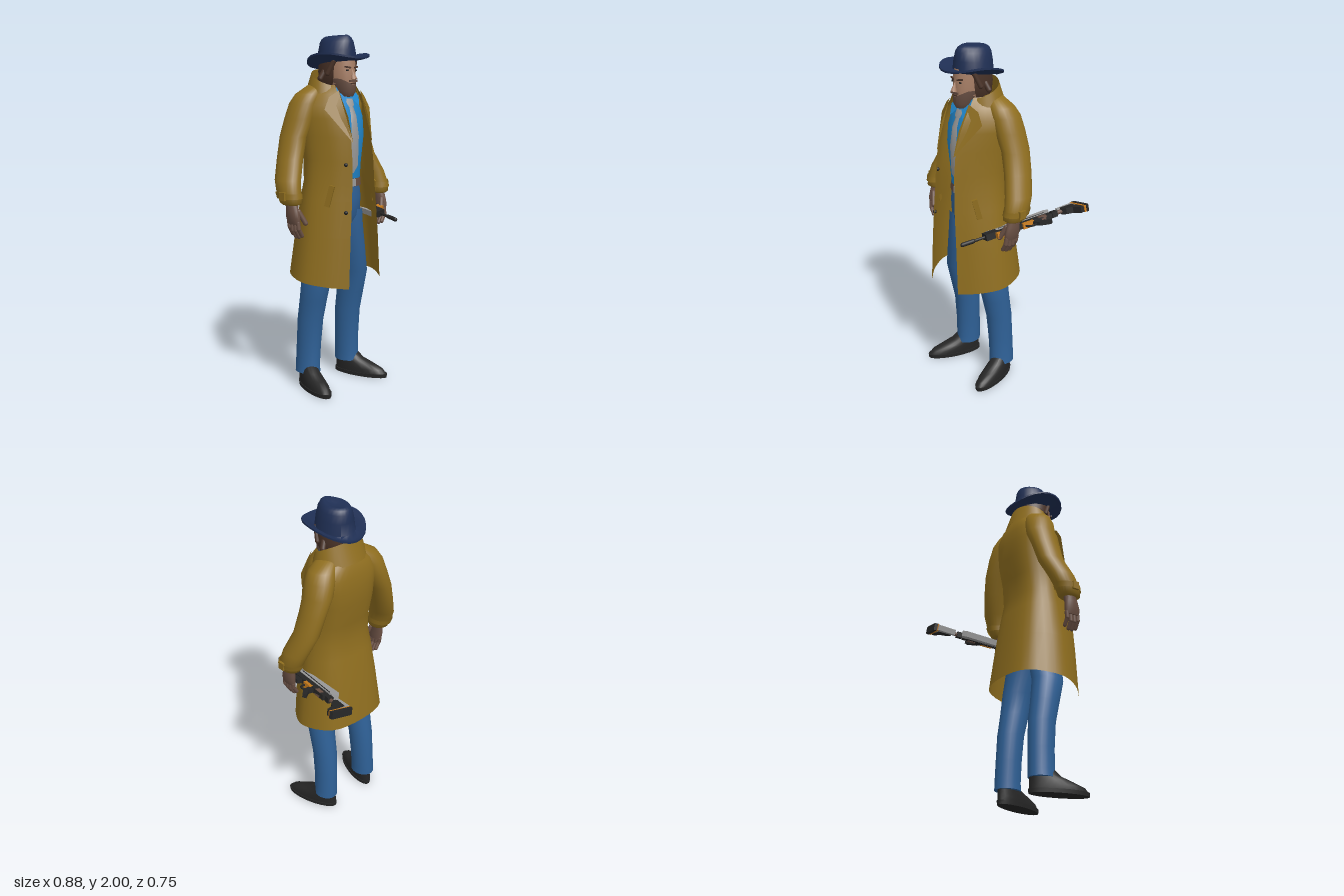
import * as THREE from 'three';
import { toCreasedNormals } from 'three/addons/utils/BufferGeometryUtils.js';

const TAU = Math.PI * 2;
const V = (x, y, z) => new THREE.Vector3(x, y, z);
const flat = (name, color, side = THREE.FrontSide) => {
  const m = new THREE.MeshStandardMaterial({ color, side });
  m.name = name;
  return m;
};

// Elliptical ring (or arc) starting at the front (+z) and turning toward +x
function ring(y, cx, cz, rx, rz, a0 = 0, a1 = TAU, lift = () => 0) {
  const n = 24, steps = a1 - a0 > 6.28 ? n : n - 1;
  return Array.from({ length: n }, (_, i) => {
    const a = a0 + (a1 - a0) * i / steps;
    return V(cx + rx * Math.sin(a), y + lift(a), cz + rz * Math.cos(a));
  });
}

// Skin stretched over cross-sections listed from bottom to top
function loft(rings, { closed = true, bottom = false, top = false, crease = 0.9 } = {}) {
  const n = rings[0].length, pts = rings.flat(), idx = [];
  for (let i = 0; i < rings.length - 1; i++)
    for (let j = 0; j < (closed ? n : n - 1); j++) {
      const k = (j + 1) % n, a = i * n + j, b = i * n + k;
      idx.push(a, b, b + n, a, b + n, a + n);
    }
  const cap = (start, up) => {
    const c = V(0, 0, 0);
    for (let j = 0; j < n; j++) c.addScaledVector(pts[start + j], 1 / n);
    const ci = pts.push(c) - 1;
    for (let j = 0; j < n; j++) {
      const a = start + j, b = start + (j + 1) % n;
      up ? idx.push(a, b, ci) : idx.push(b, a, ci);
    }
  };
  if (bottom) cap(0, false);
  if (top) cap((rings.length - 1) * n, true);
  const g = new THREE.BufferGeometry().setFromPoints(pts);
  g.setIndex(idx);
  return toCreasedNormals(g, crease);
}

// Flat fan of corners
function fan(points) {
  const g = new THREE.BufferGeometry().setFromPoints(points);
  g.setIndex(points.slice(2).flatMap((_, i) => [0, i + 1, i + 2]));
  return toCreasedNormals(g, 0.3);
}

export function createModel() {
  const coat = flat('mustard coat', 0x8f6e1f, THREE.DoubleSide);
  const denim = flat('blue denim', 0x2f6197);
  const shirt = flat('bright blue shirt', 0x2186cb, THREE.DoubleSide);
  const felt = flat('navy felt', 0x1f2f54);
  const black = flat('black', 0x262626);
  const skin = flat('skin', 0xa87f66);
  const hair = flat('dark hair', 0x4a3328, THREE.DoubleSide);
  const grey = flat('grey', 0x9b9b9b, THREE.DoubleSide);
  const orange = flat('orange', 0xc67a1c);
  const brown = flat('brown', 0x6a5044, THREE.DoubleSide);

  const model = new THREE.Group();
  const body = new THREE.Group();
  body.name = 'figure';
  body.position.x = -0.023;
  model.add(body);
  const add = (name, geo, mat, parent = body) => {
    const m = new THREE.Mesh(geo, mat);
    m.name = name;
    parent.add(m);
    return m;
  };
  const box = (name, mat, w, h, d, x, y, z, parent = body) => {
    const m = add(name, new THREE.BoxGeometry(w, h, d), mat, parent);
    m.position.set(x, y, z);
    return m;
  };
  const capsule = (name, mat, p, q, r, parent = body) => {
    const d = q.clone().sub(p);
    const m = add(name, new THREE.CapsuleGeometry(r, d.length(), 4, 10), mat, parent);
    m.position.copy(p).addScaledVector(d, 0.5);
    m.quaternion.setFromUnitVectors(V(0, 1, 0), d.normalize());
    return m;
  };
  // rows: [y, cx, cz, rx, rz]
  const rows = (list, s = 1) => list.map(([y, x, z, rx, rz]) => ring(y, s * x, z, rx, rz));

  // Trousers, belt, shirt, tie
  add('hips', loft(rows([[0.95, 0, 0.1, 0.125, 0.09], [1.0, 0, 0.1, 0.15, 0.115], [1.1, 0, 0.1, 0.155, 0.12],
    [1.2, 0, 0.1, 0.145, 0.11]]), { bottom: true }), denim);
  add('belt', loft(rows([[1.165, 0, 0.1, 0.156, 0.122], [1.21, 0, 0.1, 0.152, 0.119]])), brown);
  box('buckle', grey, 0.055, 0.04, 0.012, 0, 1.188, 0.222);
  add('shirt', loft(rows([[1.17, 0, 0.1, 0.148, 0.112], [1.3, 0, 0.1, 0.15, 0.125], [1.45, 0, 0.1, 0.17, 0.135],
    [1.55, 0, 0.1, 0.17, 0.122], [1.62, 0, 0.095, 0.15, 0.105], [1.67, 0, 0.09, 0.11, 0.09],
    [1.72, 0, 0.09, 0.075, 0.075]])), shirt);
  add('tie', loft([[1.245, 0.004, 0.232], [1.285, 0.036, 0.238], [1.45, 0.029, 0.25], [1.56, 0.021, 0.238],
    [1.61, 0.016, 0.218], [1.62, 0.026, 0.216], [1.655, 0.03, 0.196]].map(([y, w, z]) =>
    [V(-w, y, z - 0.005), V(0, y, z + 0.003), V(w, y, z - 0.005)]), { closed: false }), grey);

  // Neck and head
  add('neck', loft(rows([[1.62, 0, 0.08, 0.06, 0.06], [1.74, 0, 0.1, 0.055, 0.06]])), skin);
  add('head', loft(rows([[1.675, 0, 0.17, 0.03, 0.04], [1.695, 0, 0.155, 0.05, 0.066], [1.735, 0, 0.13, 0.066, 0.095],
    [1.78, 0, 0.122, 0.072, 0.103], [1.83, 0, 0.118, 0.075, 0.105], [1.88, 0, 0.112, 0.075, 0.105]]),
  { bottom: true, top: true }), skin);
  add('beard', loft([[1.666, 0.17, 0.035, 0.045], [1.692, 0.157, 0.055, 0.072], [1.74, 0.13, 0.0705, 0.1]].map(
    ([y, z, rx, rz], i) => ring(y, 0, z, rx, rz, -1.7, 1.7, a => i === 2 ? 0.035 * Math.min(1, Math.abs(a)) - 0.012 : 0)),
  { closed: false }), brown);
  add('chinBeard', loft(rows([[1.664, 0, 0.17, 0.02, 0.03], [1.68, 0, 0.172, 0.036, 0.046]]), { bottom: true }), brown);
  add('moustache', new THREE.BoxGeometry(0.058, 0.012, 0.008), brown).position.set(0, 1.751, 0.229);
  add('mouth', new THREE.BoxGeometry(0.036, 0.006, 0.006), hair).position.set(0, 1.738, 0.228);
  const nose = add('nose', new THREE.ConeGeometry(0.018, 0.055, 8), skin);
  nose.position.set(0, 1.787, 0.229);
  nose.rotation.x = -0.2;
  add('hair', loft([[1.7, 0.085, 0.07, 0.075], [1.75, 0.1, 0.093, 0.105], [1.8, 0.105, 0.1, 0.115], [1.87, 0.11, 0.095, 0.115]]
    .map(([y, z, rx, rz]) => ring(y, 0, z, rx, rz, 1.05, TAU - 1.05)), { closed: false }), hair);
  for (const s of [-1, 1]) {
    box('eye', black, 0.02, 0.008, 0.006, s * 0.03, 1.809, 0.214);
    const brow = box('eyebrow', hair, 0.036, 0.009, 0.009, s * 0.031, 1.825, 0.217);
    brow.rotation.set(0, s * 0.3, s * 0.15);
    capsule('hairLock', hair, V(s * 0.082, 1.86, 0.16), V(s * 0.1, 1.79, 0.13), 0.014);
    capsule('hairLock', hair, V(s * 0.09, 1.8, 0.09), V(s * 0.108, 1.765, 0.08), 0.016);
  }

  // Hat: brim underside, rim, upper side, then the pinched crown
  const brim = a => 0.025 * Math.cos(a) + 0.045 * Math.sin(a) ** 2;
  const seat = a => 0.015 * Math.cos(a);
  const hatRings = [ring(1.845, 0, 0.108, 0.09, 0.105, 0, TAU, seat), ring(1.838, 0, 0.11, 0.14, 0.15, 0, TAU, brim),
    ring(1.845, 0, 0.11, 0.168, 0.18, 0, TAU, brim), ring(1.855, 0, 0.11, 0.168, 0.18, 0, TAU, brim),
    ring(1.85, 0, 0.11, 0.14, 0.15, 0, TAU, brim), ring(1.858, 0, 0.1, 0.103, 0.117, 0, TAU, seat)];
  [[1.915, 0.094, 0.113], [1.96, 0.083, 0.107], [1.982, 0.072, 0.097], [1.994, 0.055, 0.08], [1.978, 0.025, 0.05]].forEach(([y, rx, rz], i) =>
    hatRings.push(ring(y, 0, 0.1, rx, rz, 0, TAU, a => 0.006 * Math.cos(a)).map(p => {
      p.x *= 1 - 0.12 * i * Math.max(0, (p.z - 0.1) / rz);
      return p;
    })));
  add('hat', loft(hatRings, { top: true, crease: 1.2 }), felt);

  // Open coat: [y, half opening, front z, half width, side z, back z]
  const coatRows = [[0.615, 0.125, 0.325, 0.275, 0.1, -0.125], [0.9, 0.11, 0.32, 0.245, 0.1, -0.095],
    [1.1, 0.095, 0.315, 0.217, 0.09, -0.06], [1.2, 0.088, 0.31, 0.2, 0.085, -0.04], [1.32, 0.083, 0.305, 0.193, 0.08, -0.053],
    [1.45, 0.08, 0.29, 0.2, 0.06, -0.078], [1.55, 0.085, 0.262, 0.21, 0.05, -0.08], [1.62, 0.09, 0.235, 0.212, 0.04, -0.075],
    [1.68, 0.09, 0.2, 0.175, 0.045, -0.06], [1.73, 0.08, 0.165, 0.11, 0.05, -0.035]];
  add('coat', loft(coatRows.map(([y, w, zf, rx, zc, zb], i) => {
    const half = [[w, zf], [w + (rx - w) * 0.62, zc + (zf - zc) * 0.58], [rx, zc], [rx * 0.72, zb + (zc - zb) * 0.2]];
    const path = [...half, [0, zb], ...half.slice().reverse().map(([x, z]) => [-x, z])];
    const hem = z => i === 0 ? 0.055 * (zf - z) / (zf - zb) : 0;
    return new THREE.CatmullRomCurve3(path.map(([x, z]) => V(x, y + hem(z), z))).getPoints(32);
  }), { closed: false, crease: 1.2 }), coat);
  const back = a => (1 - Math.cos(a)) / 2;
  add('coatCollar', loft([ring(1.64, 0, 0.075, 0.118, 0.12, 0.72, TAU - 0.72, a => 0.05 * back(a)),
    ring(1.715, 0, 0.075, 0.143, 0.1, 0.72, TAU - 0.72, a => 0.1 * back(a)),
    ring(1.625, 0, 0.07, 0.172, 0.135, 0.72, TAU - 0.72, a => 0.07 * back(a))], { closed: false }), coat);
  add('shirtCollar', loft([ring(1.66, 0, 0.09, 0.09, 0.095, 0.25, TAU - 0.25),
    ring(1.7, 0, 0.09, 0.078, 0.085, 0.4, TAU - 0.4, a => 0.03 * back(a))], { closed: false }), shirt);

  for (const s of [-1, 1]) {
    // Coat and shirt collar details
    add('lapel', fan([V(s * 0.075, 1.42, 0.302), V(s * 0.08, 1.56, 0.268), V(s * 0.085, 1.7, 0.2),
      V(s * 0.14, 1.665, 0.18), V(s * 0.178, 1.6, 0.185)]), coat);
    add('shirtCollarPoint', fan([V(s * 0.012, 1.665, 0.193), V(s * 0.055, 1.615, 0.222), V(s * 0.088, 1.665, 0.185),
      V(s * 0.06, 1.72, 0.155)]), shirt);
    const pocket = box('pocketWelt', coat, 0.03, 0.12, 0.014, s * 0.176, 1.13, 0.222);
    pocket.rotation.set(0, s * 1.07, s * 0.25, 'YXZ');

    // Sleeve and cuff strap
    add('sleeve', loft(rows([[1.09, 0.345, 0.1, 0.044, 0.055], [1.1, 0.347, 0.1, 0.054, 0.068], [1.15, 0.35, 0.085, 0.058, 0.077],
      [1.22, 0.335, 0.06, 0.062, 0.083], [1.33, 0.287, 0.025, 0.063, 0.083], [1.45, 0.25, 0.012, 0.066, 0.085],
      [1.55, 0.205, 0.015, 0.077, 0.09], [1.63, 0.178, 0.025, 0.08, 0.088], [1.68, 0.15, 0.035, 0.078, 0.075],
      [1.73, 0.1, 0.045, 0.045, 0.05]], s), { bottom: true, top: true, crease: 1.2 }), coat);
    add('cuffStrap', loft(rows([[1.125, 0.35, 0.092, 0.062, 0.079], [1.155, 0.351, 0.084, 0.064, 0.082]], s)), coat);
    box('cuffTab', coat, 0.014, 0.045, 0.04, s * 0.411, 1.14, 0.1);

    // Hand
    add('palm', loft(rows([[0.985, 0.345, 0.118, 0.018, 0.045], [1.02, 0.35, 0.118, 0.025, 0.05], [1.06, 0.35, 0.112, 0.026, 0.044],
      [1.11, 0.347, 0.102, 0.03, 0.036]], s), { bottom: true, crease: 1.2 }), brown);
    for (let i = 0; i < 4; i++) {
      const z = 0.082 + i * 0.024, drop = [0.015, 0, 0, 0.01][i];
      capsule('fingerBase', brown, V(s * 0.347, 0.995, z), V(s * 0.345, 0.95 + drop, z + 0.004), 0.0125);
      capsule('fingerTip', brown, V(s * 0.345, 0.95 + drop, z + 0.004), V(s * 0.322, 0.912 + drop, z + 0.004), 0.0115);
    }
    capsule('thumb', brown, V(s * 0.335, 1.055, 0.145), V(s * 0.305, 0.99, 0.168), 0.014);

    // Trouser leg
    add('trouserLeg', loft(rows([[0.085, 0.162, 0.03, 0.066, 0.078], [0.13, 0.16, 0.028, 0.064, 0.076], [0.25, 0.156, 0.032, 0.065, 0.076],
      [0.4, 0.152, 0.042, 0.069, 0.079], [0.52, 0.15, 0.065, 0.072, 0.085], [0.65, 0.147, 0.088, 0.076, 0.094],
      [0.8, 0.108, 0.097, 0.084, 0.1], [0.95, 0.08, 0.1, 0.08, 0.108], [1.03, 0.075, 0.1, 0.075, 0.11]], s), { bottom: true }), denim);

    // Shoe
    const shoe = new THREE.Group();
    shoe.name = 'shoe';
    shoe.position.set(s * 0.155, 0, 0);
    shoe.rotation.y = s * 0.3;
    body.add(shoe);
    add('sole', loft(rows([[0, 0, 0.125, 0.058, 0.17], [0.022, 0, 0.125, 0.06, 0.173]]), { bottom: true, top: true }), black, shoe);
    add('upper', loft(rows([[0.02, 0, 0.125, 0.055, 0.165], [0.045, 0, 0.115, 0.056, 0.156], [0.07, 0, 0.085, 0.052, 0.125],
      [0.095, 0, 0.05, 0.049, 0.09], [0.13, 0, 0.03, 0.046, 0.07]]), { top: true }), black, shoe);
  }
  for (const [x, y, z] of [[-0.105, 1.3, 0.277], [-0.12, 1.04, 0.294]])
    add('button', new THREE.SphereGeometry(0.011, 10, 8), black).position.set(x, y, z);

  // Rifle lying on its side: local +z is the muzzle, +x its underside
  const rifle = new THREE.Group();
  rifle.name = 'rifle';
  rifle.position.set(0.265, 1.012, 0);
  rifle.rotation.set(0.115, -0.2, 0.2, 'YXZ');
  model.add(rifle);
  const plate = (name, mat, depth, pts) => {
    const g = new THREE.ExtrudeGeometry(new THREE.Shape(pts.map(p => new THREE.Vector2(...p))), { depth, bevelEnabled: false });
    return add(name, g.translate(0, 0, -depth / 2).rotateX(Math.PI / 2), mat, rifle);
  };
  capsule('barrel', black, V(0, 0, 0.2), V(0, 0, 0.33), 0.008, rifle);
  capsule('muzzle', black, V(0, 0, 0.3), V(0, 0, 0.367), 0.012, rifle);
  box('foreEnd', black, 0.055, 0.036, 0.08, -0.002, 0, 0.19, rifle);
  plate('shroud', grey, 0.034, [[-0.07, -0.19], [-0.055, -0.215], [-0.02, -0.2], [-0.008, -0.05], [0, 0.2], [-0.043, 0.2], [-0.052, 0.05]]);
  box('shroudSlot', black, 0.006, 0.037, 0.3, -0.022, 0, -0.02, rifle);
  box('receiver', black, 0.042, 0.03, 0.34, 0.012, 0, -0.02, rifle);
  box('receiverBand', brown, 0.026, 0.034, 0.05, 0.02, 0, -0.13, rifle);
  box('orangeTrim', orange, 0.02, 0.034, 0.07, 0.035, 0, -0.03, rifle);
  box('orangeForeGrip', orange, 0.03, 0.03, 0.05, 0.045, 0, 0.15, rifle);
  box('magazine', black, 0.04, 0.024, 0.06, 0.045, 0, 0.07, rifle);
  plate('grip', black, 0.022, [[0.025, -0.09], [0.07, -0.1], [0.108, -0.145], [0.124, -0.125], [0.09, -0.075], [0.03, -0.05]]);
  const guard = add('triggerGuard', new THREE.TorusGeometry(0.03, 0.006, 6, 16).rotateX(Math.PI / 2), black, rifle);
  guard.position.set(0.05, 0, -0.04);
  capsule('stockNeck', brown, V(0.006, 0, -0.18), V(0.004, 0, -0.3), 0.012, rifle);
  box('neckCollar', black, 0.036, 0.032, 0.035, 0.006, 0, -0.215, rifle);
  plate('stock', grey, 0.032, [[-0.03, -0.25], [-0.042, -0.36], [0.09, -0.375], [0.094, -0.36], [0, -0.335], [-0.008, -0.25]]);
  plate('stockCore', black, 0.036, [[-0.012, -0.27], [-0.012, -0.345], [0.095, -0.37], [0.096, -0.345], [0.05, -0.32], [0.035, -0.285], [0.012, -0.265]]);
  plate('stockTrim', orange, 0.038, [[-0.038, -0.355], [-0.039, -0.366], [0.1, -0.38], [0.1, -0.366]]);
  plate('buttPad', black, 0.042, [[-0.038, -0.366], [-0.036, -0.385], [0.094, -0.398], [0.102, -0.378]]);
  return model;
}
